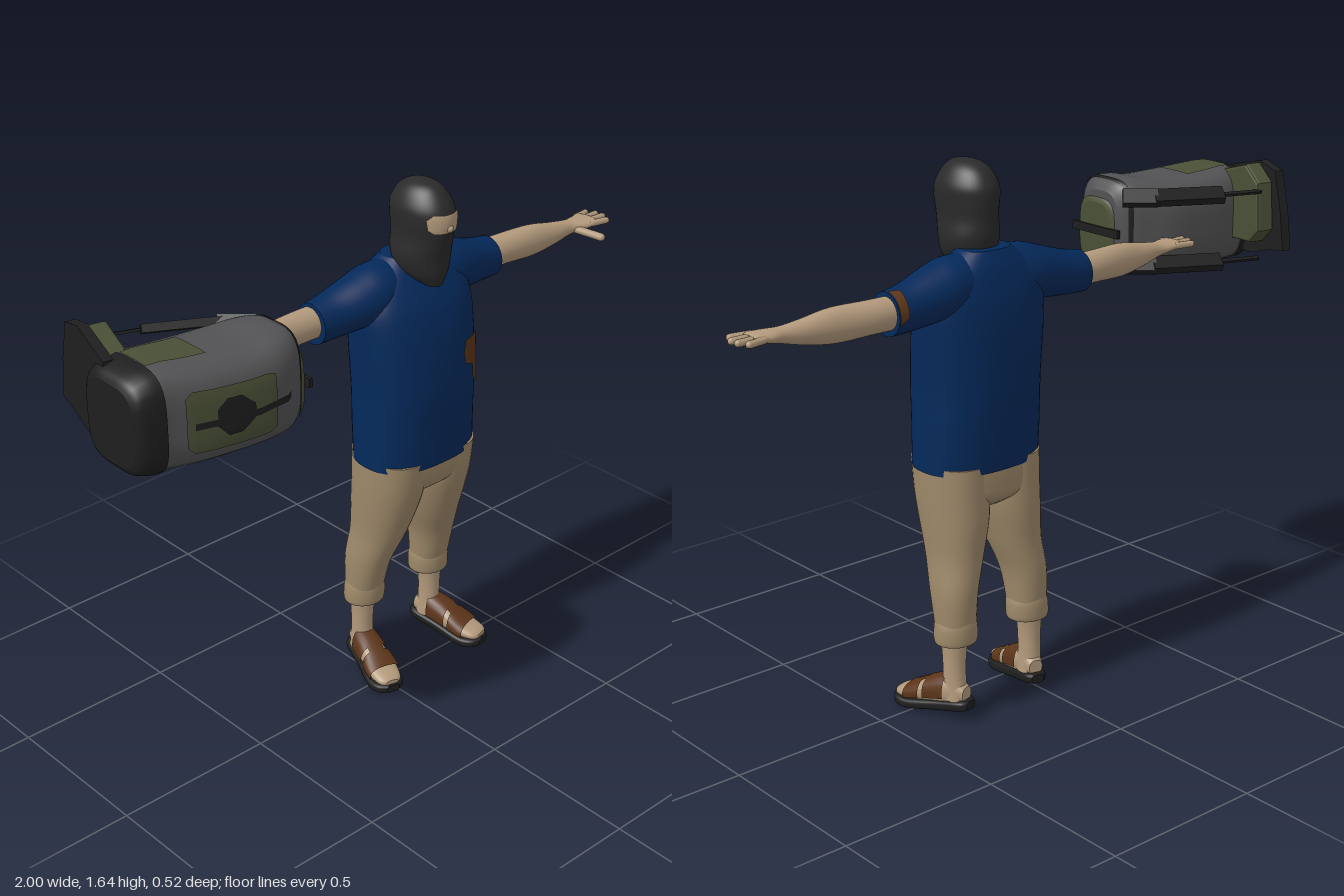
import * as THREE from 'three';

const mat = (name, color) => Object.assign(new THREE.MeshStandardMaterial({ color }), { name });

// One cross-section at fractional index u: [t, c1, c2, r1, r2], smoothly interpolated
function sectionAt(secs, u) {
  const i = Math.min(Math.floor(u), secs.length - 2), f = u - i;
  const at = k => secs[Math.max(0, Math.min(secs.length - 1, k))];
  return secs[0].map((_, c) => {
    const [a, b, d, e] = [at(i - 1)[c], at(i)[c], at(i + 1)[c], at(i + 2)[c]];
    return b + 0.5 * f * (d - a + f * (2 * a - 5 * b + 4 * d - e + f * (3 * (b - d) + e - a)));
  });
}

// Point on a superellipse section lying across the axis (0 = x, 1 = y, 2 = z)
function ringPoint(axis, s, angle, n, grow = 0) {
  const c = Math.cos(angle), d = Math.sin(angle);
  const r = (Math.abs(c) ** n + Math.abs(d) ** n) ** (-1 / n), p = [0, 0, 0];
  p[axis] = s[0];
  p[(axis + 2) % 3] = s[1] + (s[3] + grow) * r * c;
  p[(axis + 1) % 3] = s[2] + (s[4] + grow) * r * d;
  return p;
}

function buffer(pos, idx) {
  const g = new THREE.BufferGeometry();
  g.setAttribute('position', new THREE.Float32BufferAttribute(pos, 3));
  g.setIndex(idx);
  g.computeVertexNormals();
  return g;
}

// Closed smooth body through cross-sections
function loft(axis, sections, n = 2, sides = 32, steps = 5) {
  const secs = sections[0][0] > sections.at(-1)[0] ? [...sections].reverse() : sections;
  const rows = (secs.length - 1) * steps, pos = [], idx = [];
  const addRing = s => { for (let j = 0; j < sides; j++) pos.push(...ringPoint(axis, s, j / sides * Math.PI * 2, n)); };
  for (let i = 0; i <= rows; i++) addRing(sectionAt(secs, i / steps));
  for (let i = 0; i < rows; i++) for (let j = 0; j < sides; j++) {
    const a = i * sides + j, b = i * sides + (j + 1) % sides;
    idx.push(a, a + sides, b, b, a + sides, b + sides);
  }
  for (const [s, end] of [[secs[0], 0], [secs.at(-1), 1]]) {
    const k = pos.length / 3;
    addRing(s);
    pos.push(...ringPoint(axis, [s[0], s[1], s[2], 0, 0], 0, n));
    for (let j = 0; j < sides; j++) {
      const q = [k + j, k + (j + 1) % sides];
      idx.push(k + sides, q[end], q[1 - end]);
    }
  }
  return buffer(pos, idx);
}

// Thin skin lying on a loft; rows are [t, angle from, angle to]
function patch(axis, secs, rows, n = 2, grow = 0.004, cols = 16) {
  const pos = [], idx = [], steps = 4, count = (rows.length - 1) * steps;
  for (let i = 0; i <= count; i++) {
    const k = Math.min(Math.floor(i / steps), rows.length - 2), f = i / steps - k;
    const [t, a0, a1] = rows[k].map((v, c) => v + (rows[k + 1][c] - v) * f);
    let lo = 0, hi = secs.length - 1;
    for (let m = 0; m < 30; m++) {
      const mid = (lo + hi) / 2;
      if (sectionAt(secs, mid)[0] < t) lo = mid; else hi = mid;
    }
    const s = sectionAt(secs, lo);
    for (let j = 0; j <= cols; j++) pos.push(...ringPoint(axis, s, a0 + (a1 - a0) * j / cols, n, grow));
  }
  for (let i = 0; i < count; i++) for (let j = 0; j < cols; j++) {
    const a = i * (cols + 1) + j, c = a + cols + 1;
    idx.push(a, c, a + 1, a + 1, c, c + 1);
  }
  return buffer(pos, idx);
}

export function createModel() {
  const model = new THREE.Group();
  const skin = mat('skin', 0xb39a7c), shirtBlue = mat('shirt blue', 0x04295a), khaki = mat('trouser khaki', 0x9d8869);
  const maskBlack = mat('mask charcoal', 0x2a2a2b), brown = mat('leather brown', 0x5c3519);
  const black = mat('black fabric', 0x1e1e1f), grey = mat('pack grey', 0x525254), green = mat('pack green', 0x4a5036);
  const add = (parent, name, geo, m) => {
    const mesh = new THREE.Mesh(geo, m);
    mesh.name = name;
    parent.add(mesh);
    return mesh;
  };
  // Rounded finger or flat bar between two points
  const between = (parent, name, geo, m, p, q) => {
    const a = new THREE.Vector3(...p), b = new THREE.Vector3(...q);
    const mesh = add(parent, name, geo(a.distanceTo(b)), m);
    mesh.position.copy(a).lerp(b, 0.5);
    mesh.quaternion.setFromUnitVectors(new THREE.Vector3(0, 1, 0), b.sub(a).normalize());
    return mesh;
  };

  const person = new THREE.Group();
  person.name = 'person';
  person.position.x = 0.166;
  model.add(person);

  // Shirt
  const torso = [[0.76, 0, -0.042, 0.196, 0.135], [0.9, 0, -0.045, 0.194, 0.144], [1.0, 0, -0.045, 0.193, 0.149],
    [1.15, 0, -0.054, 0.2, 0.142], [1.25, 0, -0.063, 0.203, 0.126], [1.31, 0, -0.072, 0.188, 0.104],
    [1.36, 0, -0.08, 0.14, 0.08], [1.4, 0, -0.083, 0.08, 0.055]];
  add(person, 'shirt', loft(1, torso, 2.5, 48), shirtBlue);
  add(person, 'chestPatch', patch(1, torso, [[0.99, 0.96, 0.7], [1.05, 0.98, 0.64], [1.065, 1.18, 0.62],
    [1.1, 1.2, 0.6], [1.135, 1.14, 0.575]].map(([t, a, b]) => [t, b, a]), 2.5), brown);
  const sleeve = [[0.06, -0.08, 1.31, 0.075, 0.085], [0.14, -0.08, 1.305, 0.088, 0.085], [0.21, -0.083, 1.292, 0.082, 0.078],
    [0.29, -0.09, 1.277, 0.068, 0.068], [0.355, -0.092, 1.27, 0.062, 0.063]];
  add(person, 'sleevePatch', patch(0, sleeve, [[0.325, 1.9, 3.2], [0.358, 1.7, 3.5]]), brown);

  // Balaclava with eye opening
  const hood = [[1.33, 0, 0.035, 0.025, 0.03], [1.37, 0, -0.008, 0.066, 0.083], [1.42, 0, -0.018, 0.081, 0.097],
    [1.48, 0, -0.012, 0.075, 0.105], [1.53, 0, -0.01, 0.078, 0.112], [1.57, 0, -0.012, 0.077, 0.108],
    [1.61, 0, -0.013, 0.058, 0.082], [1.632, 0, -0.01, 0.034, 0.05], [1.64, 0, -0.01, 0.006, 0.01]];
  add(person, 'balaclava', loft(1, hood, 2, 40), maskBlack);
  add(person, 'eyeOpening', patch(1, hood, [[1.508, 1.0, 2.14], [1.52, 0.78, 2.36], [1.55, 0.74, 2.4], [1.564, 0.95, 2.19]]), skin);
  const nose = add(person, 'nose', new THREE.SphereGeometry(0.012, 16, 12), skin);
  nose.position.set(0, 1.52, 0.1);

  // Trouser seat
  add(person, 'trouserSeat', loft(1, [[0.635, 0, -0.06, 0.07, 0.06], [0.67, 0, -0.054, 0.165, 0.112],
    [0.72, 0, -0.046, 0.188, 0.128], [0.8, 0, -0.042, 0.188, 0.13]], 2.4), khaki);

  const finger = r => len => new THREE.CapsuleGeometry(r, len, 4, 10);
  for (const s of [1, -1]) {
    const side = s > 0 ? 'left' : 'right';
    const alongX = secs => secs.map(([t, ...rest]) => [t * s, ...rest]);
    const upright = secs => secs.map(([t, c, ...rest]) => [t, c * s, ...rest]);

    // Sleeve, arm and hand
    add(person, side + 'Sleeve', loft(0, alongX(sleeve)), shirtBlue);
    add(person, side + 'Arm', loft(0, alongX([[0.3, -0.094, 1.272, 0.048, 0.048], [0.41, -0.095, 1.273, 0.046, 0.048],
      [0.53, -0.085, 1.271, 0.039, 0.05], [0.62, -0.078, 1.27, 0.032, 0.036], [0.685, -0.073, 1.273, 0.026, 0.024],
      [0.725, -0.067, 1.276, 0.038, 0.019], [0.765, -0.064, 1.279, 0.044, 0.014], [0.78, -0.064, 1.279, 0.036, 0.009]])), skin);
    [[-0.099, -0.107, 0.808], [-0.076, -0.078, 0.823], [-0.053, -0.05, 0.825], [-0.031, -0.02, 0.81]].forEach(([z0, z1, x]) =>
      between(person, side + 'Finger', finger(0.0105), skin, [s * 0.755, 1.279, z0], [s * x, 1.278, z1]));
    between(person, side + 'Thumb', finger(0.013), skin, [s * 0.705, 1.268, -0.05], [s * 0.742, 1.253, 0.022]);

    // Trouser leg with rolled cuff, then ankle
    add(person, side + 'TrouserLeg', loft(1, upright([[0.3, 0.138, -0.112, 0.06, 0.06], [0.4, 0.133, -0.1, 0.065, 0.076],
      [0.5, 0.112, -0.078, 0.076, 0.093], [0.6, 0.1, -0.062, 0.09, 0.112], [0.68, 0.096, -0.05, 0.096, 0.122],
      [0.78, 0.096, -0.042, 0.096, 0.128]]), 2.2), khaki);
    add(person, side + 'Cuff', loft(1, upright([[0.24, 0.139, -0.114, 0.057, 0.052], [0.248, 0.139, -0.114, 0.066, 0.061],
      [0.29, 0.138, -0.113, 0.065, 0.063], [0.315, 0.138, -0.112, 0.058, 0.06]])), khaki);
    add(person, side + 'Ankle', loft(1, upright([[0.06, 0.145, -0.118, 0.036, 0.042], [0.12, 0.146, -0.116, 0.033, 0.036],
      [0.2, 0.146, -0.115, 0.035, 0.037], [0.28, 0.143, -0.115, 0.045, 0.045]])), skin);

    // Foot and sandal, turned outward
    const foot = new THREE.Group();
    foot.name = side + 'Foot';
    foot.position.set(s * 0.147, 0, -0.115);
    foot.rotation.y = s * 0.25;
    person.add(foot);
    const instep = [[-0.045, 0.082, 0, 0.022, 0.022], [0, 0.085, 0, 0.045, 0.035], [0.07, 0.07, 0, 0.04, 0.041],
      [0.14, 0.048, 0, 0.024, 0.047], [0.185, 0.04, 0, 0.015, 0.038], [0.2, 0.038, 0, 0.008, 0.022]];
    add(foot, 'footSkin', loft(2, instep, 2.4), skin);
    add(foot, 'sole', loft(2, [[-0.06, 0.05, 0, 0.013, 0.02], [-0.035, 0.048, 0, 0.017, 0.036], [0.05, 0.032, 0, 0.017, 0.042],
      [0.14, 0.017, 0, 0.017, 0.055], [0.185, 0.017, 0, 0.016, 0.047], [0.208, 0.02, 0, 0.012, 0.022]], 4), black);
    add(foot, 'instepStrap', patch(2, instep, [[0.015, -1.9, 1.9], [0.085, -1.9, 1.9]], 2.4, 0.007), brown);
    add(foot, 'toeStrap', patch(2, instep, [[0.1, -1.9, 1.9], [0.155, -1.9, 1.9]], 2.4, 0.007), brown);
    add(foot, 'centreStrap', patch(2, instep, [[0.08, -0.5, 0.5], [0.105, -0.5, 0.5]], 2.4, 0.006), brown);
  }

  // Backpack lying on its side behind the hand
  const pack = new THREE.Group();
  pack.name = 'backpack';
  model.add(pack);
  const bag = [[-0.985, 0.068, 1.31, 0.105, 0.12], [-0.96, 0.068, 1.312, 0.122, 0.142], [-0.9, 0.07, 1.315, 0.13, 0.15],
    [-0.8, 0.085, 1.31, 0.146, 0.148], [-0.65, 0.103, 1.308, 0.152, 0.145], [-0.56, 0.12, 1.315, 0.132, 0.15],
    [-0.505, 0.125, 1.318, 0.105, 0.142], [-0.48, 0.125, 1.318, 0.07, 0.11]];
  add(pack, 'packBody', loft(0, bag, 3.6, 48), grey);
  add(pack, 'packBase', loft(0, [[-1, 0.066, 1.31, 0.1, 0.115], [-0.985, 0.067, 1.31, 0.118, 0.135],
    [-0.95, 0.068, 1.312, 0.129, 0.148], [-0.92, 0.069, 1.314, 0.133, 0.152]], 3.6, 48), black);
  add(pack, 'frontPocket', patch(0, bag, [[-0.87, -0.4, 0.45], [-0.85, -0.52, 0.55], [-0.63, -0.52, 0.55], [-0.61, -0.45, 0.5]], 3.6, 0.006), green);
  add(pack, 'topPanel', patch(0, bag, [[-0.92, 1.2, 2.0], [-0.75, 1.2, 2.0]], 3.6, 0.004), green);
  add(pack, 'lidPanel', loft(0, [[-0.5, 0.14, 1.3, 0.085, 0.11], [-0.48, 0.14, 1.3, 0.078, 0.105], [-0.472, 0.14, 1.3, 0.06, 0.09]], 3.6), green);
  add(pack, 'pocketFlap', patch(0, bag, [[-0.79, -0.1, 0.2], [-0.76, -0.3, 0.36], [-0.72, -0.3, 0.36], [-0.68, -0.1, 0.15]], 3.6, 0.009), black);
  add(pack, 'frontStrap', patch(0, bag, [[-0.85, -0.1, 0.02], [-0.482, -0.1, 0.02]], 3.6, 0.009), black);
  add(pack, 'lidSeam', patch(0, bag, [[-0.512, -Math.PI, Math.PI], [-0.5, -Math.PI, Math.PI]], 3.6, 0.004, 48), black);
  const lidStrap = add(pack, 'lidStrap', new THREE.BoxGeometry(0.012, 0.026, 0.2), black);
  lidStrap.position.set(-0.472, 1.305, 0.135);

  // Hip belt wing: black outside, green padding inside
  const wing = pts => new THREE.Shape(pts.map(([z, y]) => new THREE.Vector2(-z, y)));
  const belt = new THREE.Group();
  belt.name = 'hipBelt';
  belt.position.set(-0.975, 0, 0);
  belt.rotation.y = Math.PI / 2 - 0.19;
  pack.add(belt);
  add(belt, 'beltBacking', new THREE.ExtrudeGeometry(wing([[0.02, 1.2], [-0.1, 1.2], [-0.2, 1.23], [-0.265, 1.24], [-0.245, 1.36],
    [-0.21, 1.48], [-0.13, 1.5], [0.02, 1.46]]), { depth: 0.03, bevelEnabled: false }), black);
  const pad = add(belt, 'beltPadding', new THREE.ExtrudeGeometry(wing([[0.02, 1.25], [-0.16, 1.26], [-0.2, 1.3], [-0.19, 1.44],
    [-0.13, 1.485], [0.02, 1.44]]), { depth: 0.04, bevelThickness: 0.01, bevelSize: 0.008, bevelSegments: 2 }), green);
  pad.position.z = 0.035;

  // Shoulder straps, wide near the lid and thin towards the belt
  for (const y of [1.42, 1.21]) {
    const path = [[-0.49, y, 0.03], [-0.56, y, -0.035], [-0.65, y, -0.085], [-0.74, y, -0.135], [-0.86, y, -0.18]];
    for (let i = 0; i < 4; i++) {
      const thin = i === 3;
      between(pack, 'shoulderStrap', len => new THREE.BoxGeometry(thin ? 0.008 : 0.024, len + 0.012, thin ? 0.014 : 0.055), black, path[i], path[i + 1]);
    }
  }
  return model;
}
